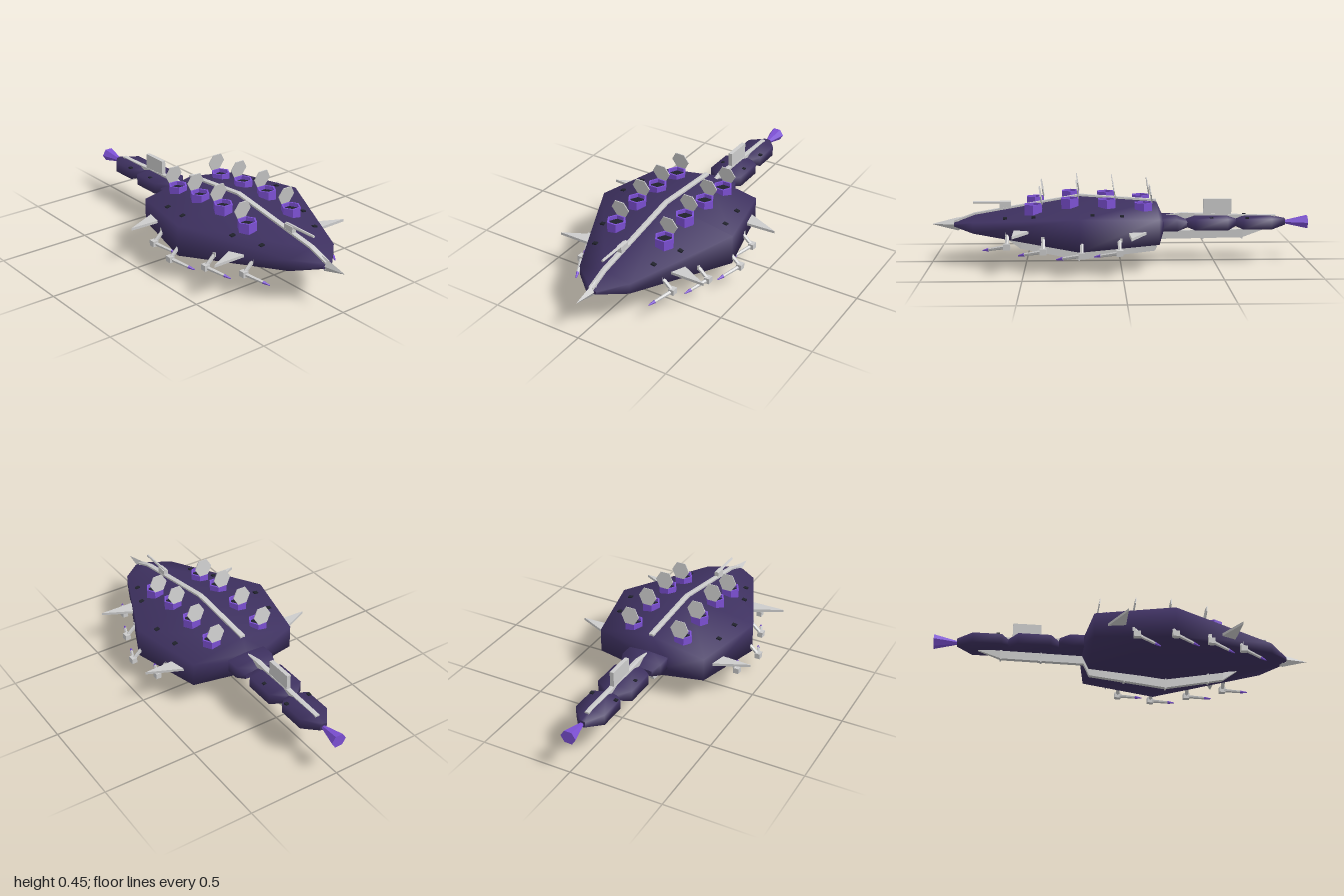
import * as THREE from 'three';

const mat = (color, flat = true) =>
  new THREE.MeshStandardMaterial({ color, flatShading: flat, side: THREE.DoubleSide });
const hullMat = mat(0x3e3160, false);
const grey = mat(0xcccccc);
const purple = mat(0x7c50d4);
const dark = mat(0x20222c);

function add(parent, name, geometry, material, x = 0, y = 0, z = 0) {
  const mesh = new THREE.Mesh(geometry, material);
  mesh.name = name;
  mesh.position.set(x, y, z);
  parent.add(mesh);
  return mesh;
}

// Lofts six-sided sections along x. Section: [x, half width, top, bottom]; k is the shoulder height ratio.
function loft(sections, k) {
  const pos = [], index = [];
  const ring = ([x, w, top, bot]) => {
    const mid = (top + bot) / 2, s = (top - bot) / 2 * k;
    for (const [y, z] of [[top, 0], [mid + s, w], [mid - s, w], [bot, 0], [mid - s, -w], [mid + s, -w]])
      pos.push(x, y, z);
  };
  sections.forEach(ring);
  const n = sections.length;
  for (let i = 0; i < n - 1; i++)
    for (let j = 0; j < 6; j++) {
      const a = i * 6 + j, b = i * 6 + (j + 1) % 6;
      index.push(a, b, a + 6, b, b + 6, a + 6);
    }
  // end caps on their own vertices, so they stay flat
  ring(sections[0]);
  ring(sections[n - 1]);
  for (let j = 1; j < 5; j++) {
    const s = n * 6, e = s + 6;
    index.push(s, s + j + 1, s + j, e, e + j, e + j + 1);
  }
  const g = new THREE.BufferGeometry();
  g.setAttribute('position', new THREE.Float32BufferAttribute(pos, 3));
  g.setIndex(index);
  g.computeVertexNormals();
  return g;
}

// Round bar between two points
function bar(parent, name, a, b, r0, r1, material, sides = 6) {
  const p = new THREE.Vector3(...a), q = new THREE.Vector3(...b);
  const mesh = add(parent, name, new THREE.CylinderGeometry(r1, r0, p.distanceTo(q), sides), material);
  mesh.position.copy(p).lerp(q, 0.5);
  mesh.quaternion.setFromUnitVectors(new THREE.Vector3(0, 1, 0), q.sub(p).normalize());
  return mesh;
}

const HULL_K = 0.55;
const HULL = [
  [-0.225, 0.11, 0.245, 0.165],
  [-0.19, 0.305, 0.325, 0.09],
  [0.215, 0.395, 0.355, 0.055],
  [0.77, 0.147, 0.258, 0.155],
  [0.88, 0.03, 0.217, 0.19],
];

// Height of the hull deck at x, z
function deckY(x, z) {
  const i = Math.max(1, HULL.findIndex(s => s[0] >= x));
  const t = (x - HULL[i - 1][0]) / (HULL[i][0] - HULL[i - 1][0]);
  const [, w, top, bot] = HULL[i].map((v, c) => THREE.MathUtils.lerp(HULL[i - 1][c], v, t));
  return top - (top - bot) / 2 * (1 - HULL_K) * Math.abs(z) / w;
}

// Open hexagonal launch tube with a raised lid
function launchTube(x, y, z) {
  const g = new THREE.Group();
  g.name = 'launchTube';
  g.position.set(x, y, z);
  const profile = [[0.052, -0.08], [0.052, 0], [0.042, 0], [0.042, -0.04]].map(p => new THREE.Vector2(...p));
  add(g, 'tubeWall', new THREE.LatheGeometry(profile, 6), purple);
  add(g, 'tubeFloor', new THREE.CylinderGeometry(0.043, 0.043, 0.01, 6), dark, 0, -0.025, 0);
  const hinge = new THREE.Group();
  hinge.name = 'lidHinge';
  hinge.position.set(-0.045, 0, 0);
  hinge.rotation.z = 1.42;
  add(hinge, 'lid', new THREE.CylinderGeometry(0.052, 0.052, 0.005, 6), grey, 0.046, 0, 0);
  g.add(hinge);
  return g;
}

// Side gun: bent arm, joint block and forward barrel
function sideGun(x, y, z, side) {
  const g = new THREE.Group();
  g.name = 'sideGun';
  const s = v => v * side;
  const joint = [x, y, s(z)];
  const shoulder = [x, y + 0.05, s(z - 0.055)];
  add(g, 'mount', new THREE.BoxGeometry(0.028, 0.022, 0.03), grey, x - 0.002, y + 0.055, s(z - 0.065));
  bar(g, 'arm', shoulder, joint, 0.011, 0.01, grey);
  add(g, 'jointBlock', new THREE.BoxGeometry(0.034, 0.03, 0.03), grey, ...joint);
  const muzzle = [x + 0.095, y - 0.022, s(z - 0.042)];
  bar(g, 'barrel', joint, muzzle, 0.011, 0.008, grey);
  bar(g, 'barrelTip', muzzle, [x + 0.128, y - 0.03, s(z - 0.057)], 0.009, 0.003, purple);
  return g;
}

// Thin horizontal triangular fin, corners given as [x, z]
function finGeometry(corners) {
  const shape = new THREE.Shape(corners.map(c => new THREE.Vector2(...c)));
  const g = new THREE.ExtrudeGeometry(shape, { depth: 0.014, bevelEnabled: false });
  return g.rotateX(Math.PI / 2);
}

export function createModel() {
  const model = new THREE.Group();
  model.name = 'armouredShip';

  // main hull and three tail segments
  add(model, 'hull', loft(HULL, HULL_K), hullMat);
  const tail = [
    [-0.88, -0.80, -0.65, -0.61, 0.08, 0.02],
    [-0.62, -0.565, -0.395, -0.34, 0.097, 0.035],
    [-0.35, -0.295, -0.2, -0.18, 0.112, 0.09],
  ];
  tail.forEach(([a, b, c, d, w, wStart], i) => {
    const top = 0.244 + i * 0.003, bot = 0.17 - i * 0.002;
    add(model, 'tailSegment', loft([
      [a, wStart, 0.228, 0.19], [b, w, top, bot], [c, w, top, bot], [d, i === 2 ? w : 0.035, 0.228, 0.188],
    ], 0.75), hullMat);
  });

  // nose spike and flared tail thruster
  const nose = bar(model, 'noseSpike', [0.86, 0.205, 0], [1, 0.205, 0], 0.036, 0, grey, 4);
  nose.scale.z = 0.62;
  add(model, 'noseCollar', loft([[0.8, 0.006, 0.25, 0.2], [0.862, 0.022, 0.24, 0.17]], 0.3), grey);
  const thruster = bar(model, 'tailThruster', [-0.86, 0.207, 0], [-1, 0.207, 0], 0.006, 0.042, purple);
  thruster.scale.x = 0.9;

  // rails along the back
  const ridge = HULL.slice(1).map(([x, , top]) => [x, 0.014, top + 0.01, top - 0.03]);
  add(model, 'hullRail', loft(ridge, 0.9), grey);
  add(model, 'tailRail', loft([
    [-0.83, 0.012, 0.247, 0.22], [-0.62, 0.013, 0.251, 0.22],
    [-0.33, 0.014, 0.262, 0.22], [-0.24, 0.006, 0.25, 0.22],
  ], 0.9), grey);
  add(model, 'tailPlate', new THREE.BoxGeometry(0.15, 0.09, 0.022), grey, -0.517, 0.288, 0);

  // keel rail with collars at its joints
  const keel = [
    [-0.77, 0.006, 0.182, 0.168], [-0.65, 0.013, 0.172, 0.124], [-0.215, 0.013, 0.165, 0.118],
    [-0.185, 0.013, 0.1, 0.054], [0.22, 0.013, 0.056, 0.006], [0.53, 0.013, 0.112, 0.068],
    [0.62, 0.006, 0.15, 0.135],
  ];
  add(model, 'keelRail', loft(keel, 0.92), grey);
  for (const [x, y] of [[-0.65, 0.148], [-0.44, 0.145], [0, 0.056], [0.22, 0.03], [0.45, 0.075]])
    add(model, 'keelCollar', new THREE.BoxGeometry(0.008, 0.056, 0.03), grey, x, y, 0);

  // deck gun near the nose
  add(model, 'deckGunBase', new THREE.BoxGeometry(0.06, 0.04, 0.026), grey, 0.61, 0.303, 0);
  bar(model, 'deckGunBarrel', [0.58, 0.32, 0], [0.78, 0.32, 0], 0.009, 0.007, grey);

  const fins = [
    [[-0.04, 0.5], [-0.135, 0.29], [-0.03, 0.29]],
    [[0.552, 0.43], [0.43, 0.19], [0.552, 0.17]],
  ];
  const tubes = [[-0.115, 0.338], [0.075, 0.357], [0.265, 0.363], [0.455, 0.332]];
  const guns = [[0.015, 0.12, 0.4], [0.205, 0.115, 0.437], [0.4, 0.122, 0.365], [0.587, 0.132, 0.275]];
  const hatches = [[0, 0.297], [0.15, 0.315], [0.45, 0.235], [0.6, 0.175]];

  for (const side of [1, -1]) {
    for (const [x, y] of tubes) model.add(launchTube(x, y, 0.145 * side));
    for (const gun of guns) model.add(sideGun(...gun, side));
    for (const f of fins)
      add(model, 'sideFin', finGeometry(f.map(([x, z]) => [x, z * side])), grey, 0, 0.212, 0);
    // small dark deck hatches
    for (const [x, z] of hatches) {
      const hatch = add(model, 'hatch', new THREE.BoxGeometry(0.02, 0.012, 0.024), dark, x, deckY(x, z), z * side);
      hatch.rotation.x = 0.18 * side;
    }
    for (const x of [-0.67, -0.48])
      add(model, 'tailHatch', new THREE.BoxGeometry(0.018, 0.012, 0.018), dark, x, 0.237, 0.068 * side);
  }
  return model;
}
